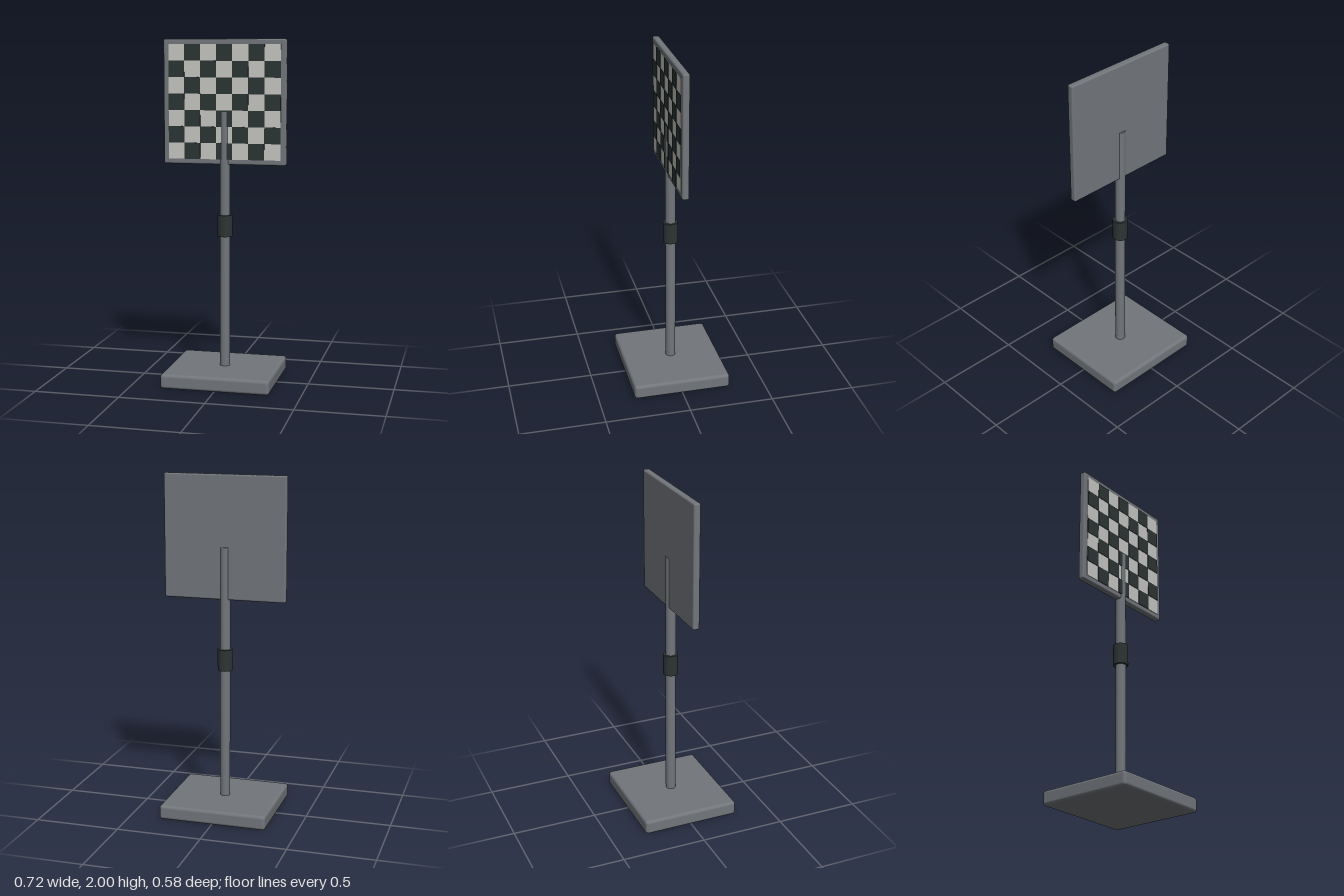
import * as THREE from 'three';
import { RoundedBoxGeometry } from 'three/addons/geometries/RoundedBoxGeometry.js';

const material = (name, color) => {
  const m = new THREE.MeshStandardMaterial({ color });
  m.name = name;
  return m;
};

export function createModel() {
  const grey = material('grey metal', 0x72767b);
  const dark = material('dark green black', 0x2c3534);
  const light = material('off white', 0xc6c6c3);

  const group = new THREE.Group();
  group.name = 'checkerTargetStand';
  const add = (name, geometry, mat, x, y, z, parent = group) => {
    const mesh = new THREE.Mesh(geometry, mat);
    mesh.name = name;
    mesh.position.set(x, y, z);
    parent.add(mesh);
    return mesh;
  };

  // Base slab and pole
  add('base', new RoundedBoxGeometry(0.64, 0.085, 0.58, 4, 0.018), grey, 0, 0.0425, 0);
  add('pole', new THREE.CylinderGeometry(0.03, 0.03, 1.515, 32), grey, 0, 0.8275, 0);

  // Clamp collar around the pole
  add('collar', new THREE.CylinderGeometry(0.044, 0.044, 0.126, 32), dark, 0, 0.922, 0);

  // Square board
  const boardY = 1.64;
  add('board', new RoundedBoxGeometry(0.722, 0.72, 0.04, 4, 0.01), grey, 0, boardY, 0);

  // Light backing sheet with dark squares on every second cell
  const cells = 7, size = 0.66 / cells;
  add('lightSheet', new THREE.BoxGeometry(0.66, 0.66, 0.004), light, 0, boardY, 0.0205);
  const squares = new THREE.Group();
  squares.name = 'darkSquares';
  group.add(squares);
  const squareGeometry = new THREE.BoxGeometry(size, size, 0.005);
  for (let row = 0; row < cells; row++) {
    for (let col = 0; col < cells; col++) {
      if ((row + col) % 2 === 0) continue;
      add('darkSquare', squareGeometry, dark,
        (col - 3) * size, boardY + (row - 3) * size, 0.023, squares);
    }
  }
  return group;
}
